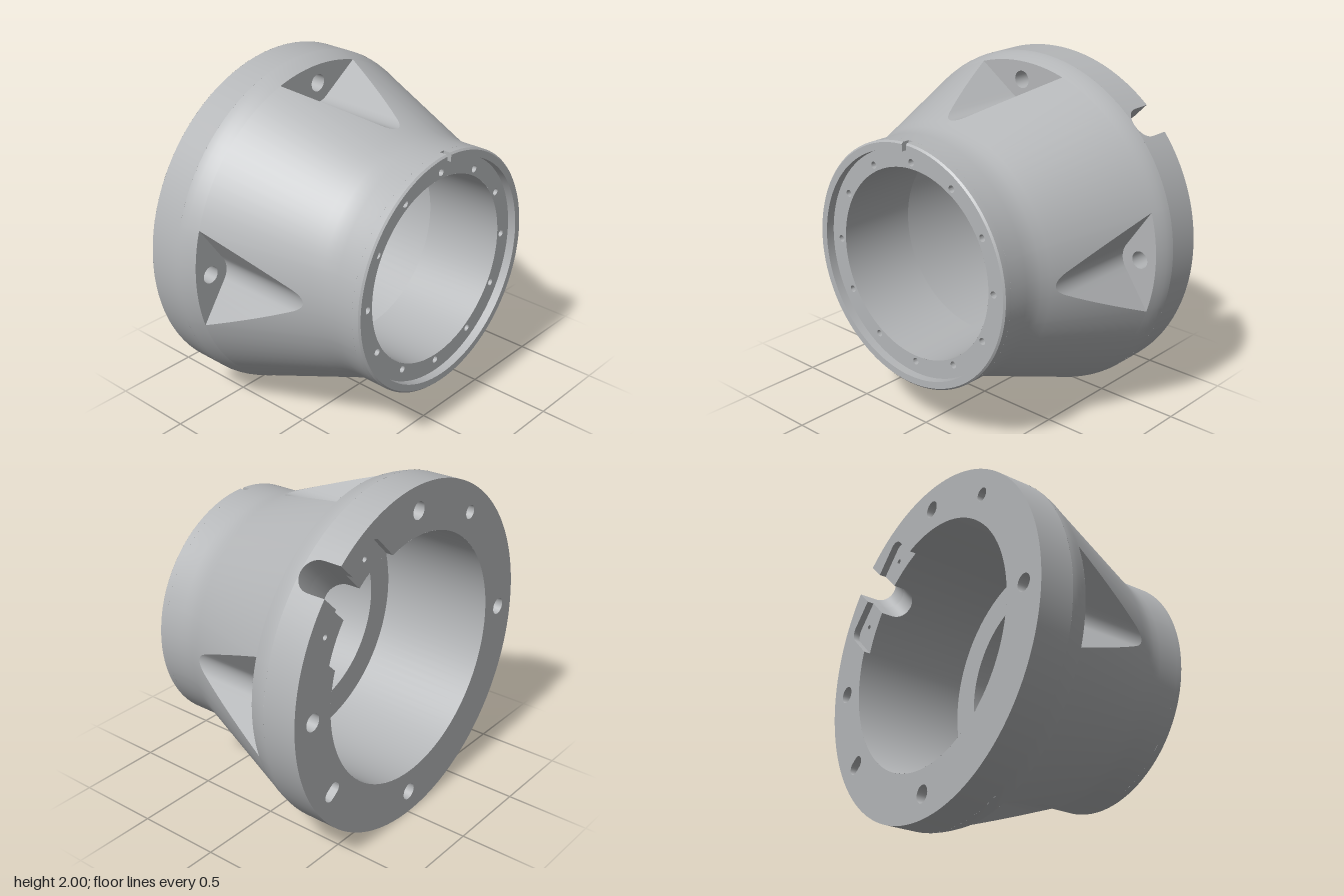
import * as THREE from 'three';
import { toCreasedNormals } from 'three/addons/utils/BufferGeometryUtils.js';

const BACK = -0.62, RECESS = -0.58, FLANGE = -0.42, WALL = -0.31, LEDGE = 0.08, FACE = 0.57, FRONT = 0.62;
const BORE = 0.72, SMALL_BORE = 0.545, NECK = 0.7, CONE_R = 0.965, SLOPE = 0.379;
const SLOT = 0.09, SLOT_Z = FLANGE - SLOT, REC_U = 0.87, REC_T = 0.33, BOLT_R = 0.86;

const V = (x, y, z) => new THREE.Vector3(x, y, z);
const polar = (r, a, z) => V(r * Math.cos(a), r * Math.sin(a), z);
const rad = THREE.MathUtils.degToRad;

// Surface through rows of points of equal length
function loft(...rows) {
  const pos = [];
  const tri = (a, b, c) => {
    const area = b.clone().sub(a).cross(c.clone().sub(a)).length();
    if (area > 1e-9) for (const p of [a, b, c]) pos.push(p.x, p.y, p.z);
  };
  for (let r = 0; r + 1 < rows.length; r++) {
    const a = rows[r], b = rows[r + 1];
    for (let i = 0; i + 1 < a.length; i++) {
      tri(a[i], a[i + 1], b[i + 1]);
      tri(a[i], b[i + 1], b[i]);
    }
  }
  const g = new THREE.BufferGeometry();
  g.setAttribute('position', new THREE.Float32BufferAttribute(pos, 3));
  g.computeVertexNormals();
  return toCreasedNormals(g, 0.5);
}

// Closed outline of a round hole, stretched radially by "stretch"
function holePoints(dist, angle, r, stretch = 0) {
  const pts = [];
  for (let i = 0; i <= 24; i++) {
    const a = (i / 24) * Math.PI * 2, c = Math.cos(a);
    const p = new THREE.Vector2(dist + r * c + stretch * (Math.abs(c) < 1e-6 ? 0 : Math.sign(c)), r * Math.sin(a));
    pts.push(p.rotateAround(new THREE.Vector2(), angle));
  }
  return pts;
}

function range(from, to, n) {
  return Array.from({ length: n + 1 }, (_, i) => from + ((to - from) * i) / n);
}

export function createModel() {
  const model = new THREE.Group();
  const metal = new THREE.MeshStandardMaterial({ color: 0xb4b6b8, side: THREE.DoubleSide });
  metal.name = 'grey metal';
  const add = (parent, name, geometry) => {
    const m = new THREE.Mesh(geometry, metal);
    m.name = name;
    parent.add(m);
    return m;
  };
  const addHole = (parent, name, pts, z0, z1, blind) => {
    add(parent, name, loft(pts.map(p => V(p.x, p.y, z1)), pts.map(p => V(p.x, p.y, z0))));
    if (blind) add(parent, name + 'Floor', new THREE.ShapeGeometry(new THREE.Shape(pts)).translate(0, 0, z1));
  };
  const lathe = (pts, start = 0, length = Math.PI * 2) => toCreasedNormals(
    new THREE.LatheGeometry(pts.map(p => new THREE.Vector2(...p)), 96, start, length).rotateX(Math.PI / 2), 0.5);

  const body = new THREE.Group();
  body.name = 'housing';
  body.position.y = 1;
  model.add(body);

  // Half cross-section of a V pocket: [tangential, radial], from valley bottom to rim
  const half = [];
  for (const a of range(0, rad(33.4), 5)) half.push([0.115 * Math.sin(a), 0.86 - 0.115 * Math.cos(a)]);
  const [t0, u0] = half[half.length - 1];
  for (let i = 1; i <= 8; i++) half.push([t0 + (0.29 - t0) * i / 8, u0 + (0.9204 - u0) * i / 8]);
  const section = [...half.slice(1).reverse().map(([t, u]) => [-t, u]), ...half];
  const pocketCols = section.map(([t, u]) => {
    const r = Math.hypot(t, u);
    return { a: Math.atan2(t, u), r, z: Math.max(WALL, WALL + (CONE_R - r) / SLOPE) };
  });
  const rim = pocketCols[pocketCols.length - 1].a;

  // Cone, cut back where the pockets leave it, blending into the neck
  const cols = [];
  for (let k = 0; k < 4; k++) {
    const base = k * Math.PI / 2;
    for (const c of pocketCols) cols.push({ ...c, a: c.a + base });
    for (const a of range(rim, Math.PI / 2 - rim, 14).slice(1, -1)) cols.push({ a: a + base, r: CONE_R, z: WALL });
  }
  cols.push({ ...cols[0], a: cols[0].a + Math.PI * 2 });
  const ring = (r, z) => cols.map(c => polar(r, c.a, z));
  add(body, 'cone', loft(
    cols.map(c => polar(CONE_R - (c.z - WALL) * SLOPE, c.a, c.z)),
    ...[[0.734, 0.3], [0.714, 0.355], [0.704, 0.4], [NECK, 0.45], [NECK, FACE]].map(p => ring(...p))));
  add(body, 'flangeShoulder', loft(
    ...[[1, FLANGE], [0.997, -0.4], [0.99, -0.375], [0.979, -0.343], [CONE_R, WALL]].map(p => ring(...p))));

  // Four pockets: valley floor, flat end wall and bolt hole
  for (let k = 0; k < 4; k++) {
    const pocket = new THREE.Group();
    pocket.name = 'pocket';
    pocket.rotation.z = k * Math.PI / 2;
    body.add(pocket);
    add(pocket, 'pocketFloor', loft(
      pocketCols.map(c => polar(c.r, c.a, WALL)), pocketCols.map(c => polar(c.r, c.a, c.z))));
    const end = new THREE.Shape(section.map(([t, u]) => new THREE.Vector2(u, t)));
    end.absarc(0, 0, CONE_R, rim, -rim, true);
    const bolt = holePoints(BOLT_R, 0, 0.05);
    end.holes.push(new THREE.Path(bolt));
    add(pocket, 'pocketWall', new THREE.ShapeGeometry(end, 24).translate(0, 0, WALL));
    addHole(pocket, 'boltHole', bolt, BACK, WALL, false);
  }

  // Rear part, built with the cable slot along +x and then turned
  const rear = new THREE.Group();
  rear.name = 'rearFlange';
  rear.rotation.z = Math.PI / 4;
  body.add(rear);

  // Slot outline [t, z] with a round end
  const arch = range(Math.PI, 0, 16).map(a => [SLOT * Math.cos(a), SLOT_Z + SLOT * Math.sin(a)]);
  const slot = z => [[-SLOT, z], ...arch, [SLOT, z]];
  const outA = Math.asin(SLOT), inA = Math.asin(SLOT / BORE), recA = Math.asin(REC_T / BORE);
  const outer = [...slot(BACK).map(([t, z]) => [Math.asin(t), z]),
    ...range(outA, Math.PI * 2 - outA, 96).map(a => [a, BACK])];
  add(rear, 'flangeRim', loft(outer.map(([a, z]) => polar(1, a, z)), outer.map(([a]) => polar(1, a, FLANGE))));

  const inner = [...slot(RECESS).map(([t, z]) => [Math.asin(t / BORE), z]),
    ...range(inA, recA, 8).map(a => [a, RECESS]),
    ...range(recA, Math.PI * 2 - recA, 84).map(a => [a, BACK]),
    ...range(-recA, -inA, 8).map(a => [a, RECESS])];
  add(rear, 'rearBore', loft(inner.map(([a]) => polar(BORE, a, LEDGE)), inner.map(([a, z]) => polar(BORE, a, z))));

  // Slot sides, lower where the recesses run into the slot
  add(rear, 'slotOuterWall', loft(
    slot(BACK).map(([t, z]) => V(REC_U, t, z)), slot(BACK).map(([t, z]) => V(Math.sqrt(1 - t * t), t, z))));
  add(rear, 'slotInnerWall', loft(
    slot(RECESS).map(([t, z]) => V(Math.sqrt(BORE * BORE - t * t), t, z)), slot(RECESS).map(([t, z]) => V(REC_U, t, z))));

  // Recess outline from the slot round to the bore, on the +t side
  const recess = [[REC_U, SLOT],
    ...range(0, Math.PI / 2, 6).map(a => [REC_U - 0.06 + 0.06 * Math.cos(a), REC_T - 0.06 + 0.06 * Math.sin(a)]),
    [BORE * Math.cos(recA), REC_T]];

  // Flat rear face with bolt holes, locating holes and the recess opening
  const face = new THREE.Shape();
  face.absarc(0, 0, 1, outA, Math.PI * 2 - outA, false);
  for (const [u, t] of recess) face.lineTo(u, -t);
  face.absarc(0, 0, BORE, Math.PI * 2 - recA, recA, true);
  for (const [u, t] of [...recess].reverse()) face.lineTo(u, t);
  for (let k = 0; k < 4; k++) face.holes.push(new THREE.Path(holePoints(BOLT_R, Math.PI / 4 + k * Math.PI / 2, 0.05)));
  for (const [angle, stretch] of [[80, 0], [-80, 0.02]]) {
    face.holes.push(new THREE.Path(holePoints(BOLT_R, rad(-angle), 0.04, stretch)));
    addHole(rear, 'locatingHole', holePoints(BOLT_R, rad(angle), 0.04, stretch), BACK, BACK + 0.14, true);
  }
  add(rear, 'rearFace', new THREE.ShapeGeometry(face, 96).rotateX(Math.PI).translate(0, 0, BACK));

  // Shallow recess with a screw hole on each side of the slot
  for (const s of [1, -1]) {
    const floor = new THREE.Shape(recess.map(([u, t]) => new THREE.Vector2(u, s * t)));
    floor.absarc(0, 0, BORE, s * recA, s * inA, s > 0);
    const screw = holePoints(Math.hypot(0.79, 0.22), s * Math.atan2(0.22, 0.79), 0.016);
    floor.holes.push(new THREE.Path(screw));
    add(rear, 'recessFloor', new THREE.ShapeGeometry(floor, 12).translate(0, 0, RECESS));
    add(rear, 'recessWall', loft(recess.map(([u, t]) => V(u, s * t, BACK)), recess.map(([u, t]) => V(u, s * t, RECESS))));
    addHole(rear, 'recessScrewHole', screw, RECESS, RECESS + 0.1, true);
  }

  // Inner ledge and front bore
  add(body, 'frontBore', lathe([[SMALL_BORE, FACE], [SMALL_BORE, LEDGE], [BORE, LEDGE]].map(([r, z]) => [r, z])));

  // Front seat with twelve screw holes
  const seat = new THREE.Shape().absarc(0, 0, NECK, 0, Math.PI * 2, false);
  seat.holes.push(new THREE.Path().absarc(0, 0, SMALL_BORE, 0, Math.PI * 2, true));
  for (let k = 0; k < 12; k++) {
    const pts = holePoints(0.58, k * Math.PI / 6, 0.02);
    seat.holes.push(new THREE.Path(pts));
    addHole(body, 'seatScrewHole', pts, FACE, FACE - 0.1, true);
  }
  add(body, 'frontSeat', new THREE.ShapeGeometry(seat, 96).translate(0, 0, FACE));

  // Raised front lip with a small notch at the top
  const lip = [[NECK, FACE], [NECK, FRONT - 0.01], [NECK - 0.01, FRONT], [0.65, FRONT], [0.65, FACE]];
  const notch = 0.022;
  const lipMesh = add(body, 'frontLip', lathe(lip, notch, Math.PI * 2 - 2 * notch));
  lipMesh.rotation.z = Math.PI; // the lathe seam starts at the bottom
  for (const s of [1, -1]) {
    const cap = new THREE.ShapeGeometry(new THREE.Shape(lip.map(p => new THREE.Vector2(...p))));
    add(body, 'notchSide', cap.rotateX(Math.PI / 2).scale(1, -1, 1).rotateZ(Math.PI / 2 + s * notch).scale(1, 1, 1));
  }
  return model;
}
